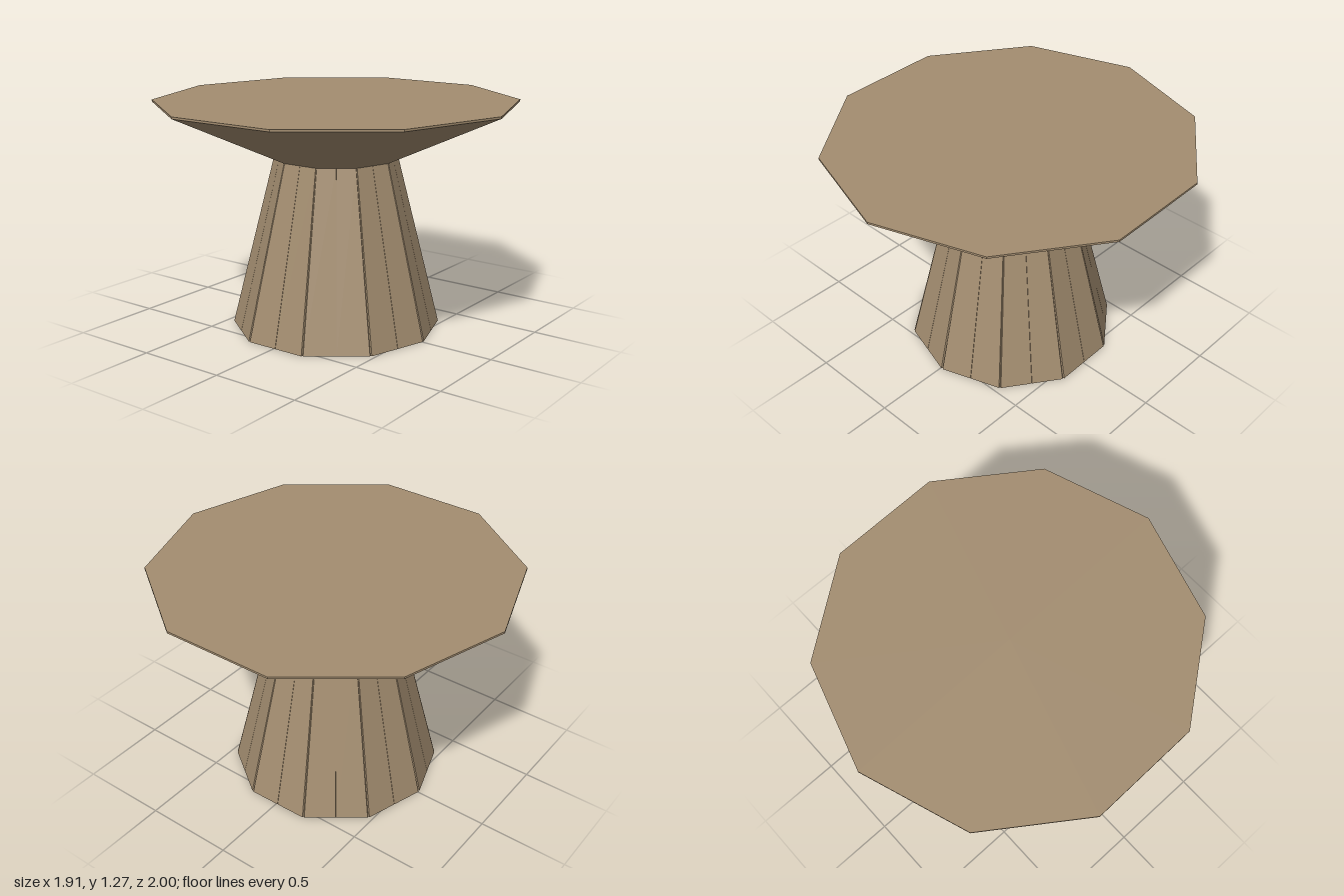
import * as THREE from 'three';

const SIDES = 10;
const TURN = 0.016; // slight twist of the decagon about the upright axis

const wood = new THREE.MeshStandardMaterial({ color: 0xa38d70, flatShading: true });
wood.name = 'wood';

// Decagon outline of radius 1 with a groove at each corner and a fine seam mid-side
function groovedOutline() {
  const corner = (i) => {
    const a = (i / SIDES) * Math.PI * 2;
    return new THREE.Vector2(Math.sin(a), Math.cos(a));
  };
  const steps = [[0, 0.985], [0.016, 1], [0.497, 1], [0.5, 0.992], [0.503, 1], [0.984, 1]];
  const outline = [];
  for (let i = 0; i < SIDES; i++) {
    for (const [t, inset] of steps) {
      outline.push(corner(i).lerp(corner(i + 1), t).multiplyScalar(inset));
    }
  }
  return outline;
}

// Tapered solid that carries the outline from a bottom to a top radius
function taperedGeometry(outline, bottomRadius, topRadius, height) {
  const positions = [];
  const index = [];
  const n = outline.length;
  for (const p of outline) {
    positions.push(p.x * bottomRadius, 0, p.y * bottomRadius);
    positions.push(p.x * topRadius, height, p.y * topRadius);
  }
  positions.push(0, 0, 0, 0, height, 0);
  for (let i = 0; i < n; i++) {
    const a = i * 2;
    const b = ((i + 1) % n) * 2;
    index.push(a, b, b + 1, a, b + 1, a + 1); // side
    index.push(2 * n, b, a);                  // underside
    index.push(2 * n + 1, a + 1, b + 1);      // top
  }
  const geometry = new THREE.BufferGeometry();
  geometry.setAttribute('position', new THREE.Float32BufferAttribute(positions, 3));
  geometry.setIndex(index);
  geometry.computeVertexNormals();
  return geometry;
}

export function createModel() {
  const table = new THREE.Group();
  table.name = 'pedestalTable';

  // Panelled pedestal
  const pedestal = new THREE.Mesh(taperedGeometry(groovedOutline(), 0.583, 0.342, 0.955), wood);
  pedestal.name = 'pedestal';

  // Table top: flared underside, thin rim, flat surface
  const profile = [[0, 0.955], [0.345, 0.955], [1, 1.257], [1, 1.268], [0, 1.268]]
    .map(([r, y]) => new THREE.Vector2(r, y));
  const top = new THREE.Mesh(new THREE.LatheGeometry(profile, SIDES), wood);
  top.name = 'tableTop';

  for (const part of [pedestal, top]) {
    part.rotation.y = TURN;
    table.add(part);
  }
  return table;
}
